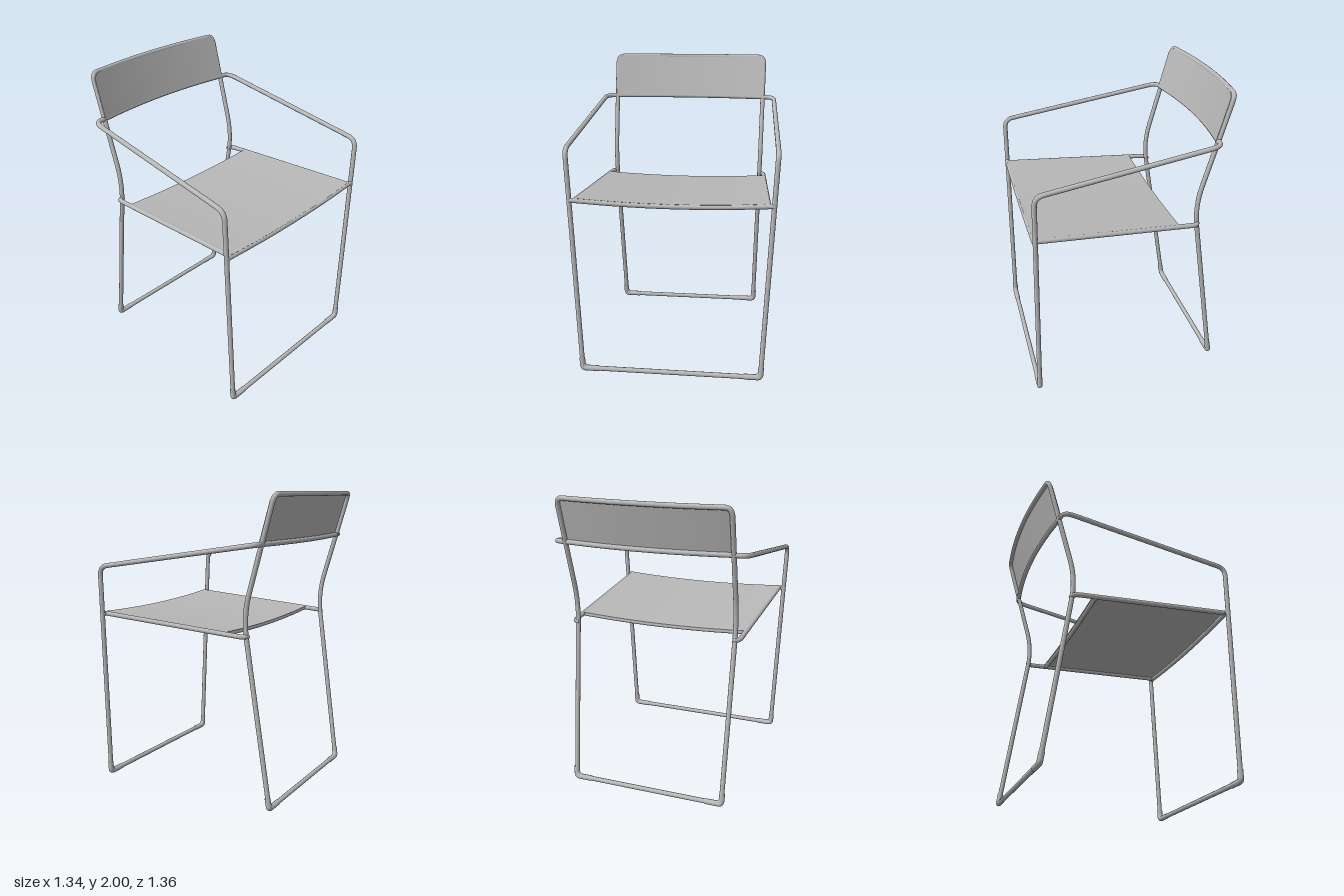
import * as THREE from 'three';

const V = (x, y, z) => new THREE.Vector3(x, y, z);
const R = 0.016; // tube radius
const BACK_BULGE = 0.048;
const arch = (x, half) => Math.max(0, 1 - (x / half) ** 2);

// Polyline with rounded corners; each point is [x, y, z, cornerCut]
function roundedPath(pts, closed) {
  const path = new THREE.CurvePath();
  const n = pts.length;
  const P = pts.map(p => V(p[0], p[1], p[2]));
  const toward = (i, j) => {
    const d = P[j].clone().sub(P[i]);
    const cut = Math.min(pts[i][3] || 0, d.length() * 0.49);
    return P[i].clone().add(d.setLength(cut));
  };
  let pen = closed ? P[0] : P[0].clone();
  for (let i = 1; i < (closed ? n : n - 1); i++) {
    const next = (i + 1) % n;
    if (pts[i][3]) {
      const a = toward(i, i - 1), b = toward(i, next);
      path.add(new THREE.LineCurve3(pen, a));
      path.add(new THREE.QuadraticBezierCurve3(a, P[i], b));
      pen = b;
    } else {
      path.add(new THREE.LineCurve3(pen, P[i]));
      pen = P[i];
    }
  }
  path.add(new THREE.LineCurve3(pen, closed ? P[0] : P[n - 1]));
  path.arcLengthDivisions = 600;
  return path;
}

// Left half of a loop, an arched crossbar, then the mirrored half
function frameLoop(half, barHalf, y, z, bulge) {
  const bar = [];
  for (let i = 0; i <= 16; i++) {
    const x = barHalf * (1 - i / 8);
    bar.push([x, y, z - bulge * arch(x, 0.557), 0.02]);
  }
  const mirrored = half.slice(1).reverse().map(p => [-p[0], p[1], p[2], p[3]]);
  return [...half, ...bar, ...mirrored];
}

// Height of the seat plane along z, with a sag across x
const seatY = (x, z) => 1.125 + (z + 0.43) * 0.0514 - 0.022 * arch(x, 0.62);
const seatHalf = z => 0.577 + (z + 0.4) * 0.0275;

export function createModel() {
  const group = new THREE.Group();
  const grey = new THREE.MeshStandardMaterial({ color: 0xb8b8b8, side: THREE.DoubleSide });
  grey.name = 'light grey metal';

  const add = (name, geometry) => {
    const mesh = new THREE.Mesh(geometry, grey);
    mesh.name = name;
    group.add(mesh);
  };
  const tube = (name, pts, segments, radius = R, closed = false) =>
    add(name, new THREE.TubeGeometry(roundedPath(pts, closed), segments, radius, 12, closed));

  // Front legs, arms and lower back bar in one loop
  tube('frontFrame', frameLoop([
    [0, 0.019, 0.664],
    [0.592, 0.019, 0.664, 0.05],
    [0.656, 1.505, 0.638, 0.06],
    [0.637, 1.692, -0.53, 0.07],
  ], 0.53, 1.692, -0.535, BACK_BULGE), 420, R, true);

  // Rear legs and back posts in one loop
  tube('rearFrame', frameLoop([
    [0, 0.019, -0.596],
    [0.53, 0.019, -0.596, 0.05],
    [0.55, 1.25, -0.413, 0.15],
    [0.558, 1.984, -0.622, 0.06],
  ], 0.48, 1.984, -0.62, 0.045), 400, R, true);

  // Seat rails, hooked inward to the rear legs
  for (const s of [1, -1]) {
    tube(s > 0 ? 'leftSeatRail' : 'rightSeatRail', [
      [s * 0.607, seatY(0.62, 0.645), 0.645],
      [s * 0.577, seatY(0.62, -0.43), -0.432, 0.05],
      [s * 0.535, seatY(0.62, -0.43), -0.436],
    ], 60);
  }

  // Sagging crossbars under the seat
  for (const [name, z, half, r] of [['frontSeatBar', 0.646, 0.643, R], ['rearSeatBar', -0.285, 0.58, 0.014]]) {
    const pts = [];
    for (let i = 0; i <= 16; i++) {
      const x = half * (i / 8 - 1);
      pts.push(V(x, seatY(x, z), z));
    }
    add(name, new THREE.TubeGeometry(new THREE.CatmullRomCurve3(pts), 48, r, 12));
  }

  // Thin sheet whose grid is bent by a rule
  const sheet = (name, geometry, rule) => {
    const pos = geometry.attributes.position, p = V(0, 0, 0);
    for (let i = 0; i < pos.count; i++) {
      rule(p.fromBufferAttribute(pos, i));
      pos.setXYZ(i, p.x, p.y, p.z);
    }
    geometry.computeVertexNormals();
    add(name, geometry);
  };

  // Seat: tapers to the rear and sags in the middle
  sheet('seat', new THREE.BoxGeometry(2, 0.008, 0.95, 32, 1, 4), p => {
    p.z += 0.175;
    p.x *= seatHalf(p.z);
    p.y += seatY(p.x, p.z) + 0.0115;
  });

  // Backrest: leans and curves back, with rounded upper corners
  sheet('backrest', new THREE.BoxGeometry(2, 1, 0.008, 32, 24, 1), p => {
    const t = p.y + 0.5, r = 0.045;
    p.y = 1.692 + t * 0.294;
    const over = Math.max(0, p.y - (1.986 - r));
    p.x *= 0.558 - r + Math.sqrt(Math.max(0, r * r - over * over));
    p.z += -0.523 - t * 0.084 - BACK_BULGE * arch(p.x, 0.557);
  });

  // Glides wrapped around the four floor corners
  for (const [name, x, z, lean] of [['frontGlide', 0.592, 0.664, -0.001], ['rearGlide', 0.53, -0.596, 0.011]]) {
    for (const s of [1, -1]) {
      tube(name, [
        [s * (x - 0.11), 0.019, z],
        [s * x, 0.019, z, 0.02],
        [s * (x + 0.003), 0.09, z + lean],
      ], 30, 0.019);
    }
  }

  return group;
}
